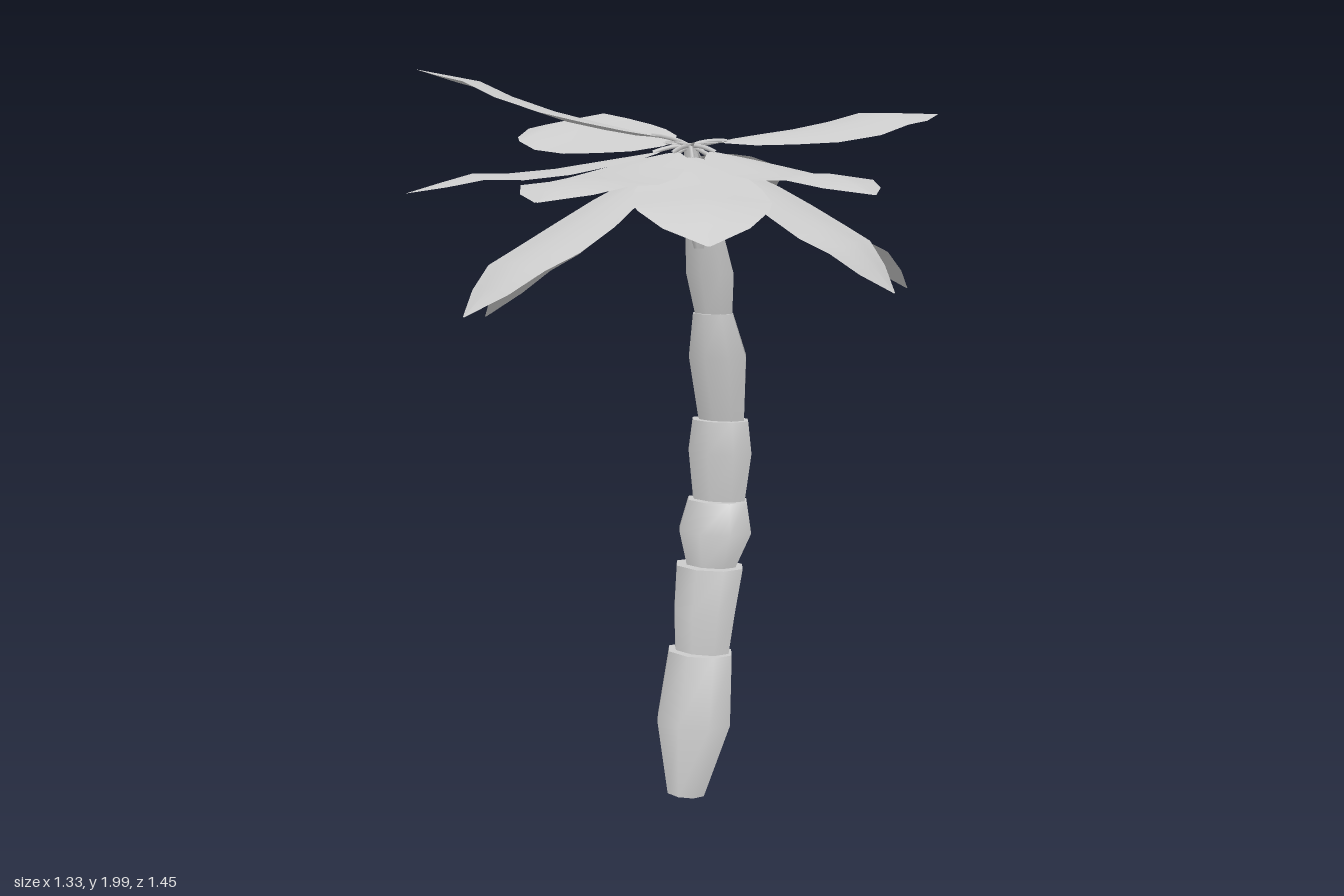
import * as THREE from 'three';

const material = new THREE.MeshStandardMaterial({ color: 0xcccccc });
const leafMaterial = new THREE.MeshStandardMaterial({ color: 0xcccccc, side: THREE.DoubleSide });
const CROWN = new THREE.Vector3(0.04, 1.78, -0.03);

// Trunk segments, each a list of rings from bottom to top: [y, z, radiusX, radiusZ]
const SEGMENTS = [
  [[0, -0.01, 0.058, 0.042], [0.2, -0.055, 0.115, 0.088], [0.39, -0.092, 0.1, 0.073]],
  [[0.385, -0.1, 0.085, 0.055], [0.5, -0.115, 0.096, 0.07], [0.625, -0.145, 0.105, 0.077]],
  [[0.62, -0.15, 0.077, 0.05], [0.72, -0.177, 0.114, 0.087], [0.805, -0.19, 0.093, 0.07]],
  [[0.8, -0.197, 0.082, 0.05], [0.94, -0.203, 0.1, 0.073], [1.03, -0.205, 0.088, 0.065]],
  [[1.025, -0.21, 0.072, 0.046], [1.21, -0.188, 0.088, 0.074], [1.33, -0.16, 0.061, 0.051]],
  [[1.325, -0.163, 0.058, 0.04], [1.44, -0.14, 0.074, 0.05], [1.6, -0.095, 0.05, 0.04]],
  [[1.51, -0.095, 0.02, 0.025], [1.57, -0.085, 0.036, 0.036], [1.78, -0.03, 0.018, 0.018]],
];

// Leaves: tip x, y, z, upward bulge of the midrib, roll (positive drops the clockwise edge, from above), width scale
const LEAVES = [
  [-0.15, 1.57, -0.73, 0.035, -0.3, 0.92],
  [0.52, 1.87, -0.57, 0.0, 0.13, 1],
  [-0.665, 1.84, -0.31, 0.01, -0.28, 1],
  [-0.665, 1.985, 0.22, -0.01, 0.05, 1],
  [0.66, 1.66, 0.19, 0.0, 0, 1],
  [0.605, 1.41, -0.08, 0.03, 0.1, 0.9],
  [-0.575, 1.31, 0.05, 0.015, 0, 0.95],
  [-0.47, 1.66, 0.52, 0.0, 0, 1],
  [0.43, 1.55, 0.585, 0.02, 0, 1],
  [-0.27, 1.36, 0.56, 0.02, 0, 1],
  [0.45, 1.39, -0.55, 0.02, 0, 0.95],
  [0.06, 1.645, 0.72, 0.0, 0, 1],
];

// Half width of a leaf along its length
const WIDTHS = [[0, 0.02], [0.1, 0.08], [0.25, 0.122], [0.42, 0.155], [0.6, 0.168], [0.74, 0.153], [0.87, 0.1], [1, 0.004]];

function add(parent, name, geometry, mat = material) {
  const mesh = new THREE.Mesh(geometry, mat);
  mesh.name = name;
  parent.add(mesh);
  return mesh;
}

// Eight-sided loft through a stack of level elliptical rings
function segmentGeometry(rings) {
  const last = rings.length - 1;
  const geometry = new THREE.CylinderGeometry(1, 1, 1, 8, last, false, Math.PI / 2);
  const p = geometry.attributes.position;
  for (let i = 0; i < p.count; i++) {
    const [y, z, rx, rz] = rings[Math.round((p.getY(i) + 0.5) * last)];
    p.setXYZ(i, CROWN.x + p.getX(i) * rx, y, z + p.getZ(i) * rz);
  }
  geometry.computeVertexNormals();
  return geometry;
}

// Where the blade begins, a short way out from the crown
function leafBase(tip) {
  const flat = new THREE.Vector3(tip.x - CROWN.x, 0, tip.z - CROWN.z).normalize();
  const base = CROWN.clone().addScaledVector(flat, 0.09);
  base.y += (tip.y - CROWN.y) * 0.13;
  return base;
}

// Broad folded blade: five points across, swept along a midrib that humps before the tip
function leafGeometry(base, tip, bulge, roll, scale) {
  const axis = tip.clone().sub(base).normalize();
  const side = new THREE.Vector3().crossVectors(axis, new THREE.Vector3(0, 1, 0)).normalize();
  side.applyAxisAngle(axis, roll);
  const up = new THREE.Vector3().crossVectors(side, axis);
  const positions = [], index = [];
  WIDTHS.forEach(([t, halfWidth], row) => {
    const w = halfWidth * scale;
    const mid = base.clone().lerp(tip, t);
    mid.y += bulge * 4 * t * (1 - t);
    mid.addScaledVector(up, 0.022 * Math.sin(Math.PI * Math.max(0, 2 * t - 1)) ** 2);
    [-1, -0.5, 0, 0.5, 1].forEach((s, col) => {
      const fold = -0.1 * w * Math.abs(s);
      const v = mid.clone().addScaledVector(side, s * w).addScaledVector(up, fold);
      positions.push(v.x, v.y, v.z);
      if (row > 0 && col > 0) {
        const d = row * 5 + col, c = d - 1, b = d - 5, a = d - 6;
        index.push(a, b, c, b, d, c);
      }
    });
  });
  const geometry = new THREE.BufferGeometry();
  geometry.setAttribute('position', new THREE.Float32BufferAttribute(positions, 3));
  geometry.setIndex(index);
  geometry.computeVertexNormals();
  return geometry;
}

export function createModel() {
  const model = new THREE.Group();
  model.name = 'palmTree';

  // Leaning, jointed trunk
  const trunk = new THREE.Group();
  trunk.name = 'trunk';
  SEGMENTS.forEach((rings, i) => add(trunk, `trunkSegment${i + 1}`, segmentGeometry(rings)));
  model.add(trunk);

  // Leaves with their thin stalks
  const crown = new THREE.Group();
  crown.name = 'crown';
  LEAVES.forEach(([x, y, z, bulge, roll, scale], i) => {
    const tip = new THREE.Vector3(x, y, z);
    const base = leafBase(tip);
    add(crown, `leaf${i + 1}`, leafGeometry(base, tip, bulge, roll, scale), leafMaterial);
    const middle = CROWN.clone().lerp(base, 0.5);
    middle.y += 0.012;
    const end = base.clone().lerp(tip, 0.02);
    const path = new THREE.QuadraticBezierCurve3(CROWN, middle, end);
    add(crown, `stalk${i + 1}`, new THREE.TubeGeometry(path, 4, 0.006, 5));
  });

  // Small sprouts at the heart of the crown
  for (let i = 0; i < 9; i++) {
    const angle = (i / 9) * Math.PI * 2 + 0.2;
    const reach = 0.06 + 0.02 * (i % 3);
    const geometry = new THREE.ConeGeometry(0.008, reach, 4);
    geometry.translate(0, reach / 2, 0);
    const sprout = add(crown, `sprout${i + 1}`, geometry);
    sprout.position.copy(CROWN);
    const direction = new THREE.Vector3(Math.cos(angle), 0.12, Math.sin(angle)).normalize();
    sprout.quaternion.setFromUnitVectors(new THREE.Vector3(0, 1, 0), direction);
  }
  model.add(crown);
  return model;
}
